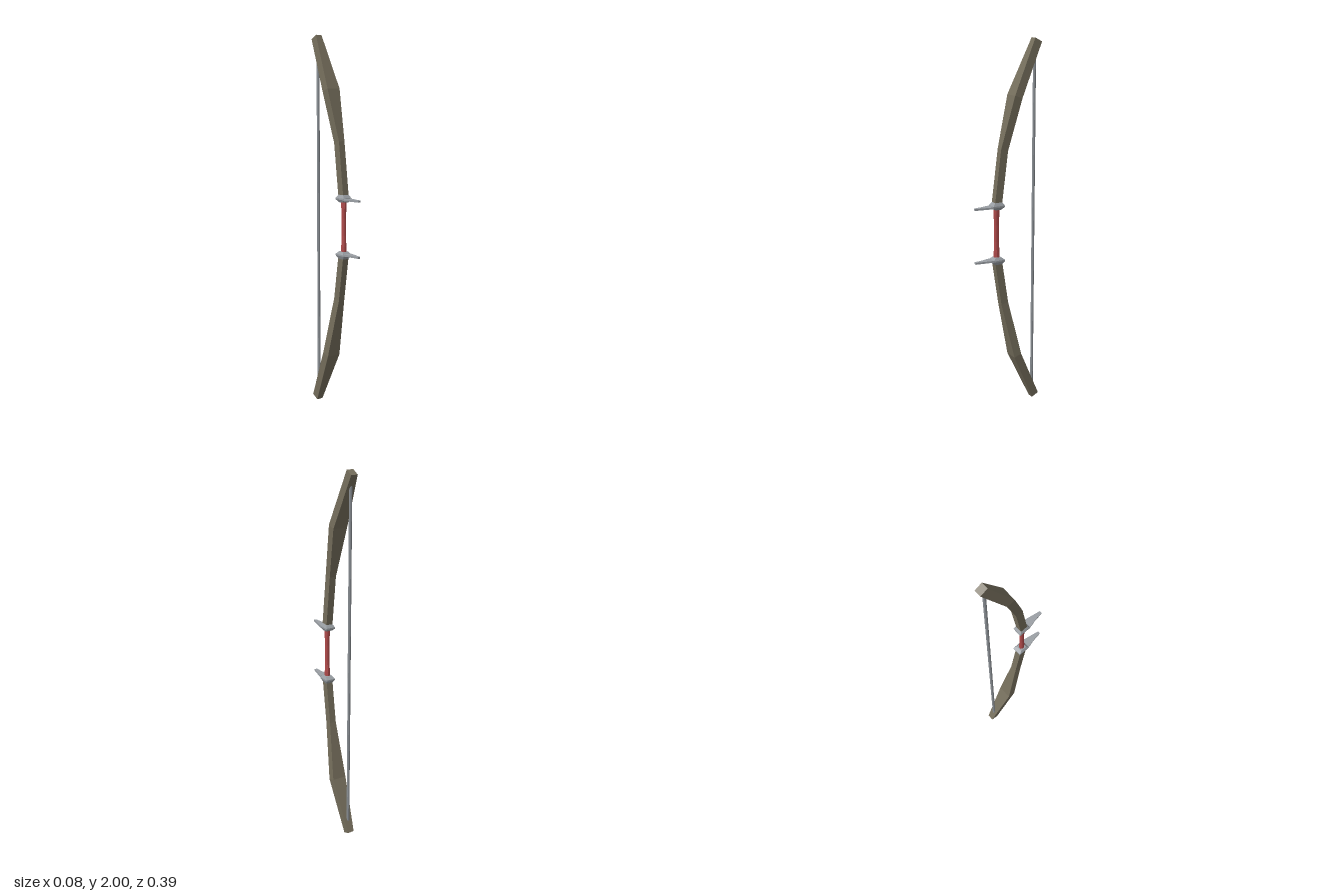
import * as THREE from 'three';

// Closed solid through equal-length rings, each counterclockwise seen from +y, listed bottom to top
function loft(rings) {
  const pos = [];
  const tri = (a, b, c) => pos.push(...a, ...b, ...c);
  const n = rings[0].length;
  for (let r = 0; r < rings.length - 1; r++) {
    const lo = rings[r], hi = rings[r + 1];
    for (let i = 0; i < n; i++) {
      const j = (i + 1) % n;
      tri(lo[i], lo[j], hi[j]);
      tri(lo[i], hi[j], hi[i]);
    }
  }
  const first = rings[0], last = rings[rings.length - 1];
  for (let i = 1; i < n - 1; i++) {
    tri(first[0], first[i + 1], first[i]);
    tri(last[0], last[i], last[i + 1]);
  }
  const g = new THREE.BufferGeometry();
  g.setAttribute('position', new THREE.Float32BufferAttribute(pos, 3));
  g.computeVertexNormals();
  return g;
}

// Four-cornered section: half width, front edge (y, z), back edge (y, z)
const section = ([w, fy, fz, by, bz]) => [[w, fy, fz], [w, by, bz], [-w, by, bz], [-w, fy, fz]];

export function createModel() {
  const model = new THREE.Group();
  const material = (name, color) => {
    const m = new THREE.MeshStandardMaterial({ color, flatShading: true });
    m.name = name;
    return m;
  };
  const wood = material('olive wood', 0x756e5c);
  const red = material('red wrap', 0xb04a4a);
  const steel = material('grey steel', 0x9a9fa4);
  const cord = material('grey cord', 0x8a8f94);

  const add = (name, geometry, mat, parent = model) => {
    const mesh = new THREE.Mesh(geometry, mat);
    mesh.name = name;
    parent.add(mesh);
    return mesh;
  };

  // Limbs: flat bent staves that widen at the knee
  add('upperLimb', loft([
    [0.018, 1.15, 0.084, 1.15, 0.042],
    [0.018, 1.45, 0.045, 1.44, 0.004],
    [0.039, 1.72, -0.025, 1.705, -0.068],
    [0.018, 2.0, -0.155, 1.98, -0.195],
  ].map(section)), wood);
  add('lowerLimb', loft([
    [0.018, 0, -0.155, 0.02, -0.195],
    [0.039, 0.285, -0.025, 0.3, -0.068],
    [0.018, 0.605, 0.045, 0.615, 0.004],
    [0.018, 0.86, 0.084, 0.86, 0.042],
  ].map(section)), wood);

  // Grip: eight-sided, slightly waisted
  const profile = [[0, 0.85], [0.016, 0.85], [0.016, 0.9], [0.013, 0.96],
    [0.013, 1.05], [0.016, 1.11], [0.016, 1.16], [0, 1.16]];
  const gripGeo = new THREE.LatheGeometry(profile.map(([x, y]) => new THREE.Vector2(x, y)), 8, Math.PI / 8);
  const grip = add('grip', gripGeo, red);
  grip.scale.x = 0.85;
  grip.position.z = 0.064;

  // Guards: bevelled collar with a tapering forward spike; the lower one is mirrored in height
  const collar = [
    [0.018, -0.014, 0.08, -0.014, 0.045],
    [0.026, 0, 0.095, 0, 0.028],
    [0.026, 0.008, 0.095, 0.008, 0.028],
    [0.018, 0.025, 0.082, 0.025, 0.04],
  ];
  const outline = [[0.026, 0.093], [-0.026, 0.093], [-0.014, 0.14], [-0.007, 0.193], [0.007, 0.193], [0.014, 0.14]];
  const spike = [-0.004, 0.006].map(y => outline.map(([x, z]) => [x, y, z]));
  for (const [name, y, s] of [['upperGuard', 1.149, 1], ['lowerGuard', 0.861, -1]]) {
    const guard = new THREE.Group();
    guard.name = name;
    guard.position.y = y;
    const flip = rings => {
      const out = rings.map(r => r.map(([px, py, pz]) => [px, py * s, pz]));
      return s < 0 ? out.reverse() : out;
    };
    add('collar', loft(flip(collar.map(section))), steel, guard);
    add('spike', loft(flip(spike)), steel, guard);
    model.add(guard);
  }

  // Bowstring
  const string = add('bowstring', new THREE.CylinderGeometry(0.008, 0.008, 1.88, 8), cord);
  string.position.set(0, 1, -0.162);

  return model;
}
